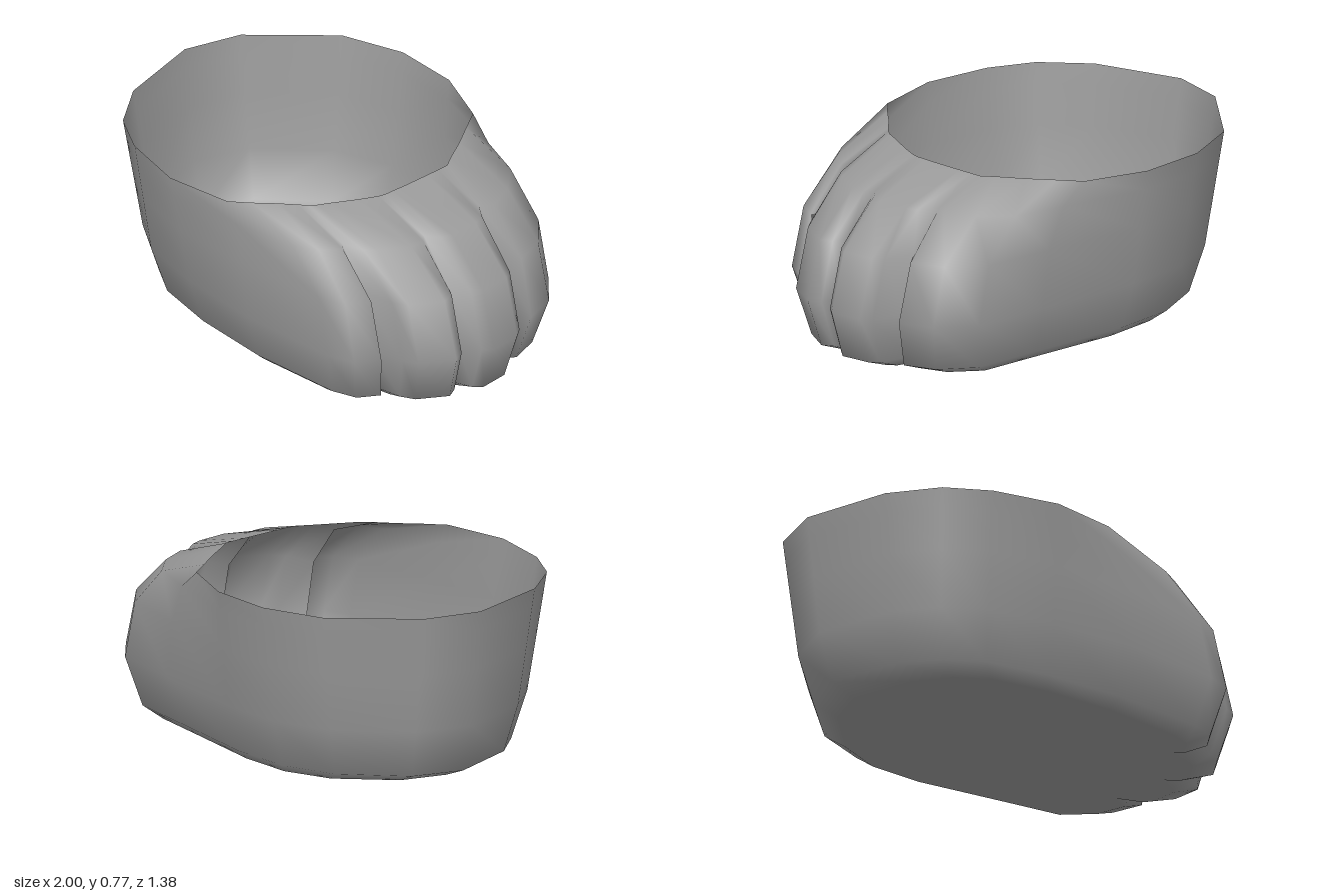
import * as THREE from 'three';

// Columns around the shoe: rim x, rim z, widest-level x, widest-level z, toe bulge (0 = straight wall)
const COLUMNS = [
  // heel and back side
  [-1, 0, -0.94, 0, 0], [-0.95, -0.25, -0.88, -0.24, 0], [-0.69, -0.57, -0.65, -0.5, 0],
  [-0.43, -0.68, -0.41, -0.61, 0], [-0.14, -0.69, -0.12, -0.63, 0], [0.13, -0.6, 0.35, -0.585, 0.9],
  // first toe
  [0.2, -0.51, 0.68, -0.555, 1], [0.28, -0.41, 0.83, -0.44, 1], [0.35, -0.31, 0.89, -0.3, 1],
  [0.39, -0.26, 0.8, -0.24, 1],
  // second toe
  [0.395, -0.21, 0.94, -0.2, 1], [0.4, -0.15, 0.975, -0.16, 1], [0.41, -0.02, 1, -0.02, 1],
  [0.412, 0.04, 0.97, 0.02, 1], [0.415, 0.08, 0.87, 0.07, 1],
  // third toe
  [0.41, 0.11, 0.94, 0.1, 1], [0.38, 0.19, 0.97, 0.15, 1], [0.33, 0.3, 0.9, 0.29, 1],
  [0.31, 0.35, 0.84, 0.33, 1], [0.29, 0.38, 0.69, 0.37, 1],
  // fourth toe and front side
  [0.26, 0.41, 0.78, 0.39, 1], [0.2, 0.47, 0.73, 0.49, 1], [0.13, 0.55, 0.62, 0.54, 1],
  [0.06, 0.62, 0.18, 0.605, 0.6], [-0.23, 0.685, -0.2, 0.61, 0], [-0.52, 0.64, -0.5, 0.57, 0],
  [-0.71, 0.55, -0.67, 0.48, 0], [-0.87, 0.37, -0.81, 0.33, 0],
];

// Levels from rim to sole: height, wall blend, toe blend, scale in x and z
const LEVELS = [
  [0.77, 0, 0, 1, 1],
  [0.685, 0.17, 0.54, 1, 1],
  [0.515, 0.51, 0.88, 1, 1],
  [0.27, 1, 1, 1, 1],
  [0.065, 1, 1, 0.935, 0.9],
  [0.02, 1, 1, 0.815, 0.82],
  [0.01, 1, 1, 0.4, 0.4],
];

export function createModel() {
  const group = new THREE.Group();
  const n = COLUMNS.length;
  const positions = [];
  const index = [];
  const { lerp } = THREE.MathUtils;

  for (const [y, wall, toe, sx, sz] of LEVELS) {
    for (const [rx, rz, mx, mz, bulge] of COLUMNS) {
      const t = lerp(wall, toe, bulge);
      positions.push(lerp(rx, mx, t) * sx, y, lerp(rz, mz, t) * sz);
    }
  }

  // Walls, toes and outer sole
  for (let j = 0; j < LEVELS.length - 1; j++) {
    for (let i = 0; i < n; i++) {
      const k = (i + 1) % n;
      const a = j * n + i, b = j * n + k, c = a + n, d = b + n;
      index.push(a, b, c, b, d, c);
    }
  }

  // Middle of the sole
  const centre = LEVELS.length * n;
  positions.push(0, 0, 0);
  for (let i = 0; i < n; i++) {
    index.push(centre - n + i, centre - n + ((i + 1) % n), centre);
  }

  const geometry = new THREE.BufferGeometry();
  geometry.setAttribute('position', new THREE.Float32BufferAttribute(positions, 3));
  geometry.setIndex(index);
  geometry.computeVertexNormals();

  const shell = new THREE.Mesh(
    geometry,
    new THREE.MeshStandardMaterial({ color: 0x9a9a9a, side: THREE.DoubleSide })
  );
  shell.name = 'toedSlipperShell';
  group.add(shell);
  group.name = 'slipper';
  return group;
}
